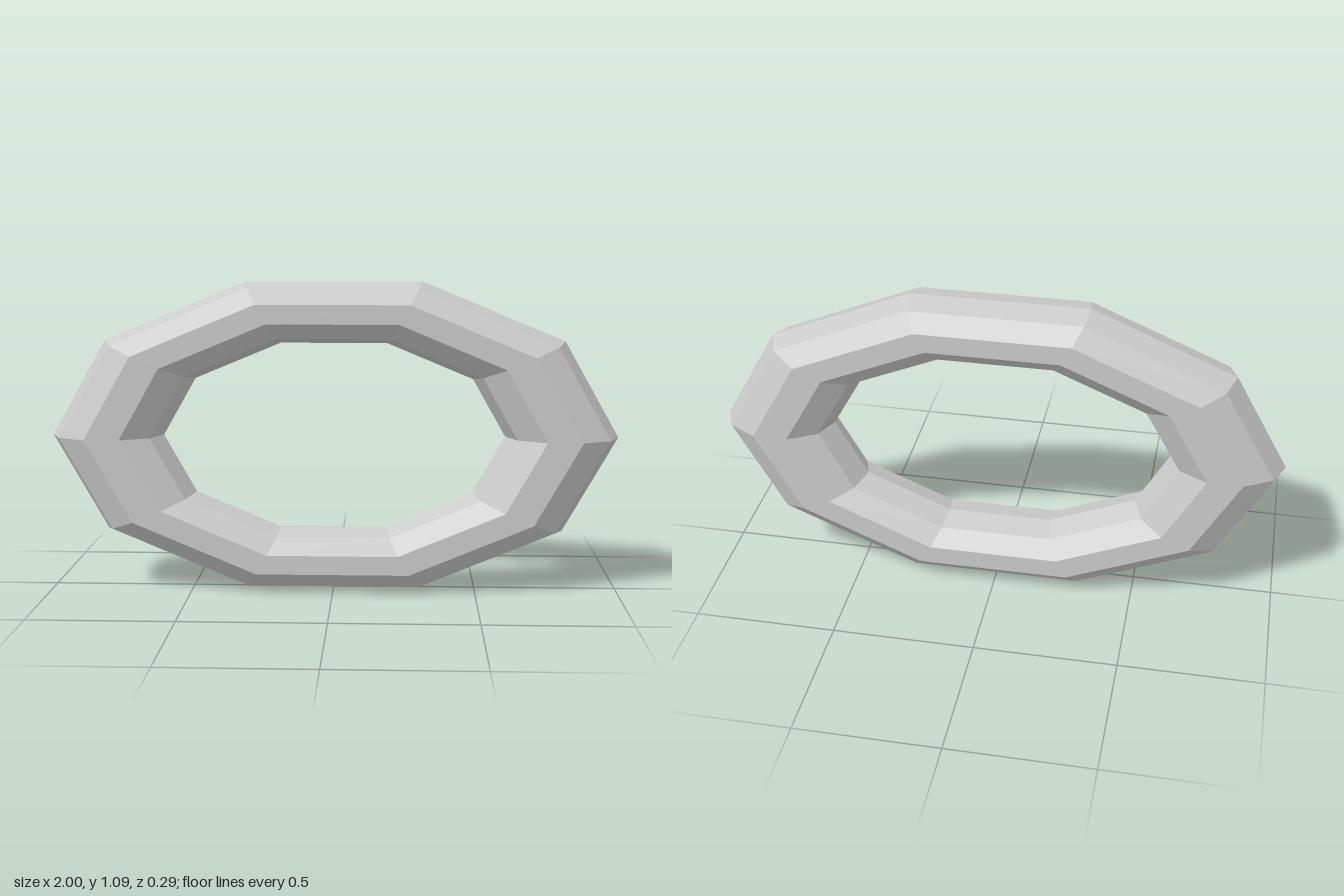
import * as THREE from 'three';

export function createModel() {
  const group = new THREE.Group();
  group.name = 'ovalRing';

  // Ten-sided tube swept round ten segments, squashed into an upright oval
  const geometry = new THREE.TorusGeometry(0.802, 0.198, 10, 10);
  geometry.scale(1, 0.573, 0.78);

  // Stand the ring on the ground
  geometry.computeBoundingBox();
  geometry.translate(0, -geometry.boundingBox.min.y, 0);

  const ring = new THREE.Mesh(
    geometry,
    new THREE.MeshStandardMaterial({ color: 0xcccccc, flatShading: true })
  );
  ring.name = 'ring';
  group.add(ring);
  return group;
}
